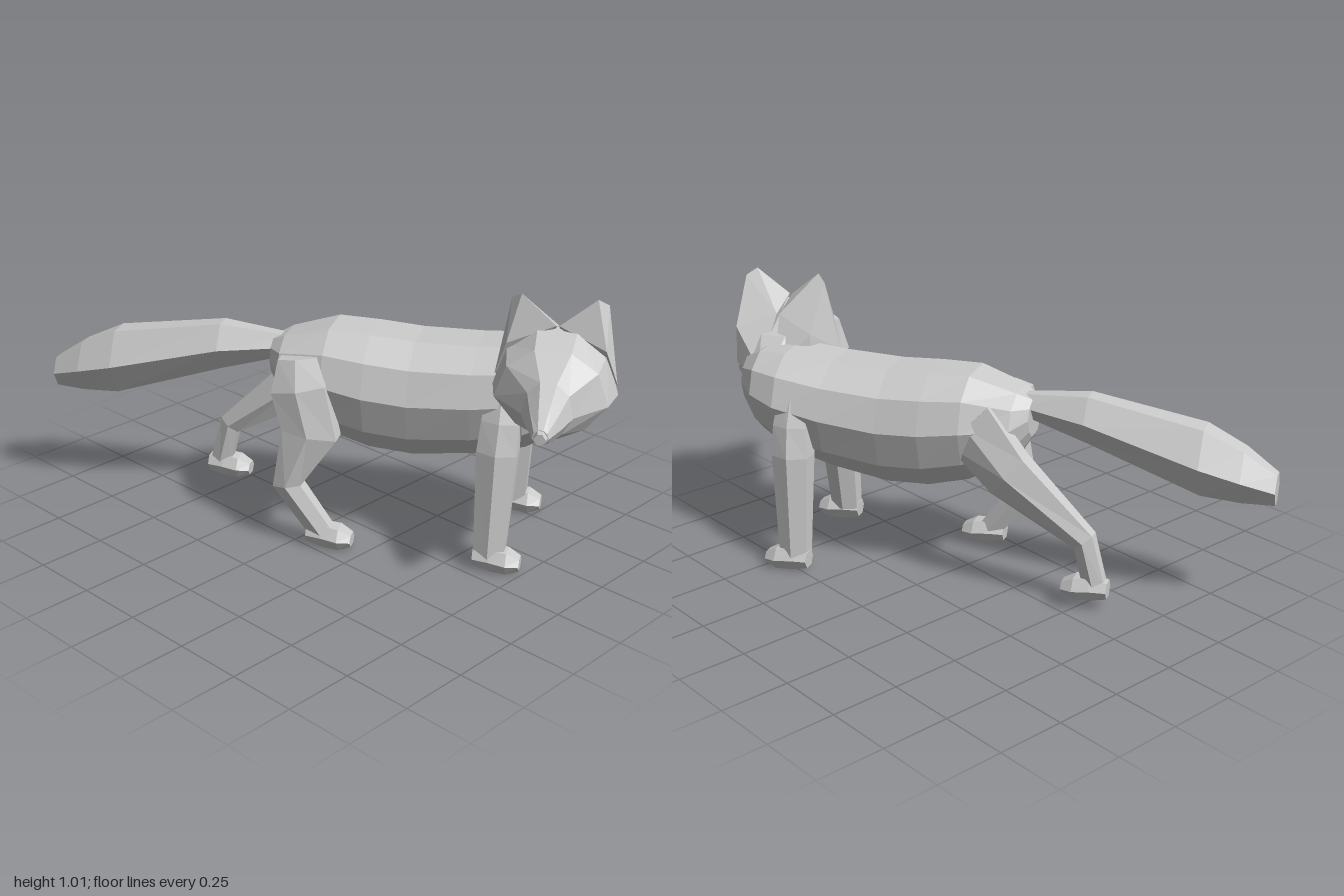
import * as THREE from 'three';
import { ConvexGeometry } from 'three/addons/geometries/ConvexGeometry.js';

const material = new THREE.MeshStandardMaterial({ color: 0xcccccc, flatShading: true });

// Mirror a half outline (right side, top to bottom) into a closed one
const mirror = half => [...half.map(([a, b]) => [a, b]).reverse(), ...half.map(([a, b]) => [-a, b])];
const BODY = mirror([[0.38, 1], [0.82, 0.66], [1, 0.1], [0.82, -0.55], [0.4, -1]]);
const HEAD = mirror([[0.32, 1], [0.8, 0.6], [1, -0.15], [0.6, -0.75], [0.2, -1]]);
const TAIL = mirror([[0.4, 1], [1, 0], [0.4, -1]]);
const LIMB = mirror([[0.55, 1], [1, 0], [0.55, -1]]);

// Skin rings [x, y, z, halfWidth, halfDepth]; rings follow the path unless an axis is given
function loft(rings, profile, axis) {
  const centres = rings.map(r => new THREE.Vector3(r[0], r[1], r[2]));
  const side = new THREE.Vector3(0, 0, 1);
  const loops = rings.map((r, i) => {
    const t = axis ? axis.clone() : centres[Math.min(i + 1, rings.length - 1)].clone()
      .sub(centres[Math.max(i - 1, 0)]).setZ(0).normalize();
    const up = side.clone().cross(t);
    return profile.map(([a, b]) => centres[i].clone()
      .addScaledVector(side, a * r[3]).addScaledVector(up, b * r[4]));
  });
  const v = [], n = profile.length, last = loops.length - 1;
  const tri = (...points) => points.forEach(p => v.push(p.x, p.y, p.z));
  for (let i = 0; i < n; i++) {
    const j = (i + 1) % n;
    for (let k = 0; k < last; k++) {
      const a = loops[k], b = loops[k + 1];
      tri(a[i], b[i], b[j]);
      tri(a[i], b[j], a[j]);
    }
    tri(centres[0], loops[0][i], loops[0][j]);
    tri(centres[last], loops[last][j], loops[last][i]);
  }
  const g = new THREE.BufferGeometry();
  g.setAttribute('position', new THREE.Float32BufferAttribute(v, 3));
  g.computeVertexNormals();
  return g;
}

function add(parent, name, geometry) {
  const mesh = new THREE.Mesh(geometry, material);
  mesh.name = name;
  parent.add(mesh);
}

const X = new THREE.Vector3(1, 0, 0);
// Ring given by station, top, bottom and half width; stations run towards +x
const span = ([x, top, bottom, w]) => [x, (top + bottom) / 2, 0, w, (top - bottom) / 2];

function addPaw(parent, name, x, y, z) {
  add(parent, name, loft([
    [x - 0.05, y + 0.045, z, 0.035, 0.03],
    [x + 0.01, y + 0.045, z, 0.045, 0.042],
    [x + 0.07, y + 0.04, z, 0.053, 0.04],
    [x + 0.115, y + 0.035, z, 0.035, 0.022],
  ], LIMB, X));
}

export function createModel() {
  const model = new THREE.Group();
  model.name = 'fox';

  // Trunk, tail and legs share the walking direction
  const torso = new THREE.Group();
  torso.name = 'torso';
  torso.rotation.y = THREE.MathUtils.degToRad(29);
  model.add(torso);

  add(torso, 'body', loft([
    [-0.25, 0.7, 0.56, 0.08],
    [-0.2, 0.725, 0.48, 0.15],
    [-0.03, 0.775, 0.385, 0.2],
    [0.12, 0.77, 0.345, 0.215],
    [0.28, 0.76, 0.335, 0.215],
    [0.5, 0.765, 0.365, 0.215],
    [0.68, 0.78, 0.41, 0.21],
    [0.79, 0.77, 0.47, 0.165],
    [0.86, 0.73, 0.55, 0.09],
  ].map(span), BODY, X));

  add(torso, 'tail', loft([
    [-1.115, 0.53, 0.42, 0.05],
    [-1, 0.605, 0.42, 0.09],
    [-0.86, 0.67, 0.43, 0.11],
    [-0.45, 0.735, 0.565, 0.085],
    [-0.18, 0.71, 0.64, 0.04],
  ].map(span), TAIL, X));

  // Forelegs stand straight
  for (const [s, name] of [[1, 'right'], [-1, 'left']]) {
    add(torso, name + 'Foreleg', loft([
      [0.61, 0.64, s * 0.16, 0.04, 0.055],
      [0.61, 0.55, s * 0.185, 0.05, 0.065],
      [0.605, 0.44, s * 0.2, 0.06, 0.07],
      [0.595, 0.05, s * 0.235, 0.045, 0.053],
    ], LIMB));
    addPaw(torso, name + 'ForePaw', 0.59, 0, s * 0.24);
  }

  // Right hind leg steps forward, left one trails behind
  add(torso, 'rightHindLeg', loft([
    [-0.12, 0.69, 0.15, 0.04, 0.07],
    [-0.105, 0.59, 0.185, 0.06, 0.1],
    [-0.06, 0.43, 0.205, 0.06, 0.1],
    [-0.14, 0.23, 0.225, 0.045, 0.052],
    [-0.01, 0.05, 0.225, 0.04, 0.042],
  ], LIMB));
  addPaw(torso, 'rightHindPaw', -0.02, 0, 0.225);
  add(torso, 'leftHindLeg', loft([
    [-0.05, 0.62, -0.13, 0.05, 0.11],
    [-0.21, 0.465, -0.16, 0.06, 0.09],
    [-0.49, 0.255, -0.165, 0.04, 0.042],
    [-0.535, 0.08, -0.17, 0.035, 0.04],
  ], LIMB));
  addPaw(torso, 'leftHindPaw', -0.53, 0.035, -0.17);

  // Head turned to its right
  const head = new THREE.Group();
  head.name = 'head';
  head.position.set(0.775, 0, -0.22);
  head.rotation.y = THREE.MathUtils.degToRad(-60);
  model.add(head);

  add(head, 'skull', loft([
    [-0.24, 0.7, 0.58, 0.07],
    [-0.15, 0.8, 0.55, 0.15],
    [0, 0.905, 0.52, 0.21],
    [0.12, 0.86, 0.56, 0.188],
    [0.2, 0.785, 0.585, 0.085],
    [0.27, 0.745, 0.605, 0.062],
    [0.36, 0.69, 0.64, 0.027],
  ].map(span), HEAD, X));
  add(head, 'nose', loft([
    [0.34, 0.695, 0.645, 0.028],
    [0.375, 0.682, 0.645, 0.02],
  ].map(span), TAIL, X));

  // Broad ears meet along the middle and cover the back of the skull
  for (const [s, name] of [[1, 'rightEar'], [-1, 'leftEar']]) {
    add(head, name, new ConvexGeometry([
      [0, 1.01, 0.125], [-0.025, 0.985, 0.16],
      [0.02, 0.915, 0.005], [0.035, 0.845, 0.165], [0, 0.72, 0.205],
      [-0.15, 0.82, 0.15], [-0.16, 0.68, 0.15], [-0.22, 0.68, 0.03], [-0.1, 0.87, 0.005],
    ].map(([x, y, z]) => new THREE.Vector3(x, y, s * z))));
  }
  return model;
}
